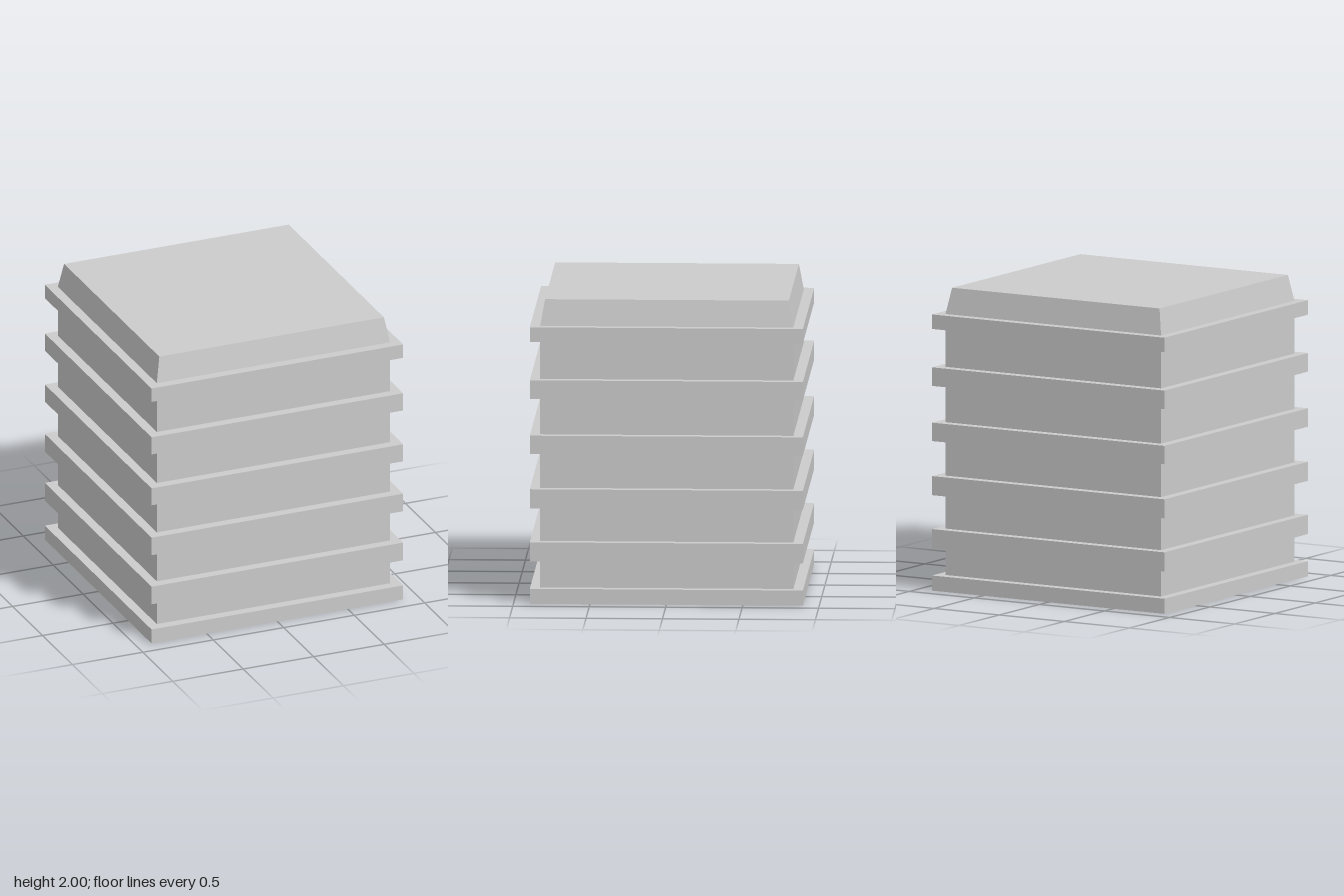
import * as THREE from 'three';

const material = new THREE.MeshStandardMaterial({ color: 0xcccccc, flatShading: true });

// Square block between two heights, with its own half width at the bottom and top
function squareBlock(name, y0, y1, halfBottom, halfTop, open = false) {
  const geometry = new THREE.CylinderGeometry(
    halfTop * Math.SQRT2, halfBottom * Math.SQRT2, y1 - y0, 4, 1, open, Math.PI / 4);
  const mesh = new THREE.Mesh(geometry, material);
  mesh.name = name;
  mesh.position.y = (y0 + y1) / 2;
  return mesh;
}

export function createModel() {
  const model = new THREE.Group();
  model.name = 'bandedCrate';

  const coreHalf = 0.828, bandHalf = 0.893, capHalf = 0.797;

  // Heights of the projecting bands, from the base up
  const bands = [
    [0, 0.1], [0.28, 0.407], [0.632, 0.758],
    [0.99, 1.112], [1.355, 1.478], [1.732, 1.828],
  ];

  bands.forEach(([y0, y1], i) => {
    model.add(squareBlock(i === 0 ? 'base' : `band${i}`, y0, y1, bandHalf, bandHalf));

    // Recessed wall up to the next band
    if (i < bands.length - 1) {
      model.add(squareBlock(`wall${i + 1}`, y1, bands[i + 1][0], coreHalf, coreHalf, true));
    }
  });

  // Lid with sloping sides
  model.add(squareBlock('lid', bands[bands.length - 1][1], 2, coreHalf, capHalf));

  return model;
}
